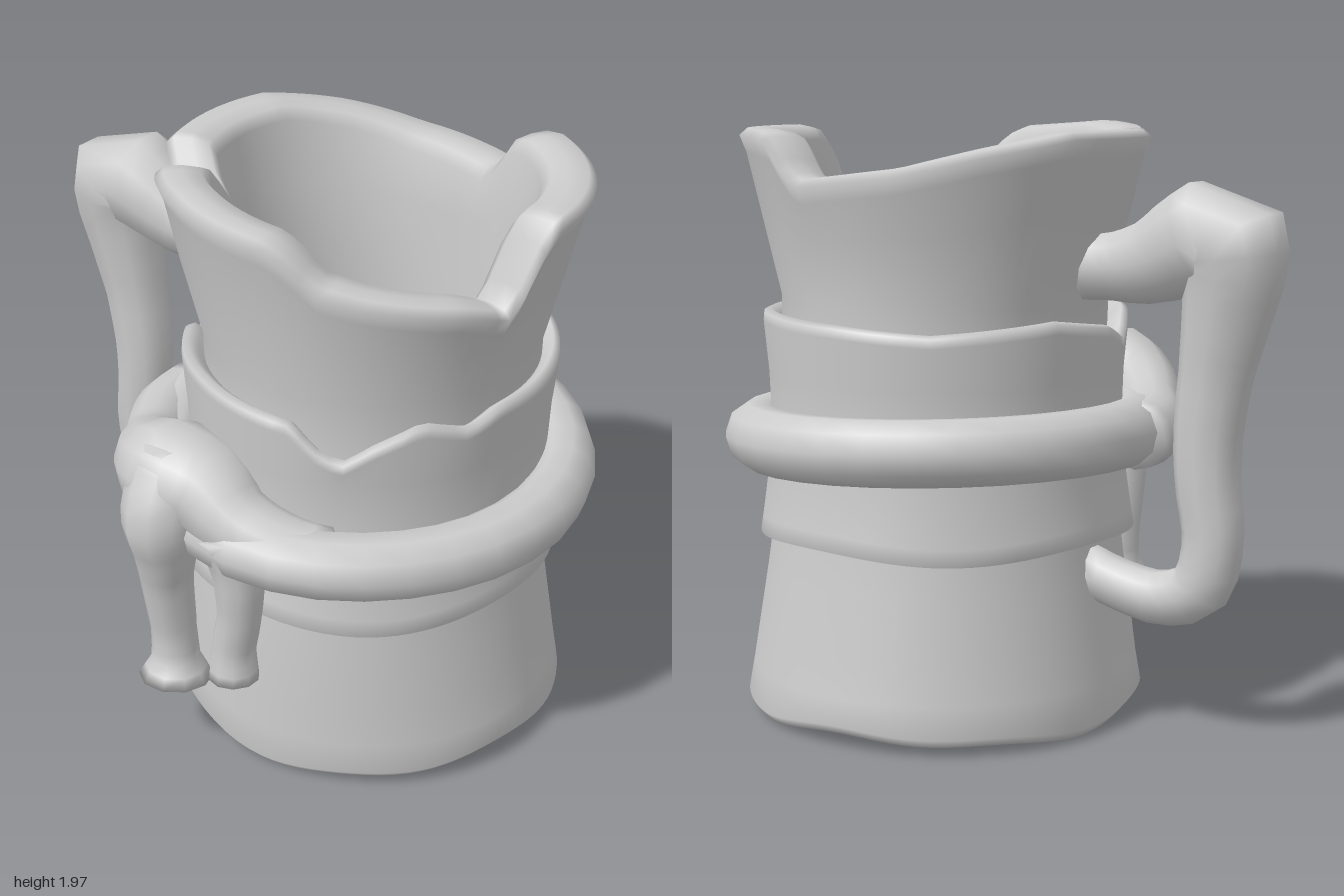
import * as THREE from 'three';
import { mergeVertices } from 'three/addons/utils/BufferGeometryUtils.js';

const clay = new THREE.MeshStandardMaterial({ color: 0xcccccc, side: THREE.DoubleSide });
clay.name = 'clay grey';

const CX = 0.24, CZ = -0.1; // axis of the mug
const SEG = 90;

// Edge heights around the mug: [angle in degrees, height]; 0 is +x, 90 is the front
const RIM = [[0, 1.95], [4, 1.94], [8, 1.88], [14, 1.67], [30, 1.73], [60, 1.79], [72, 1.82], [79, 1.89], [86, 1.94],
  [120, 1.965], [143, 1.95], [149, 1.81], [153, 1.82], [159, 1.95], [200, 1.95], [225, 1.9], [250, 1.84],
  [285, 1.8], [290, 1.83], [296, 1.93], [304, 1.95], [360, 1.95]];
const BAND_TOP = [[0, 1.35], [15, 1.35], [27, 1.31], [42, 1.36], [55, 1.3], [65, 1.23], [72, 1.27], [80, 1.35],
  [95, 1.36], [115, 1.37], [150, 1.35], [160, 1.27], [172, 1.32], [200, 1.36], [240, 1.33], [270, 1.35],
  [310, 1.36], [360, 1.35]];

// Linear lookup in a table of angle and height
function lookup(table, deg) {
  const i = Math.max(1, table.findIndex(([d]) => d >= deg));
  const [d0, h0] = table[i - 1], [d1, h1] = table[i];
  return h0 + (h1 - h0) * (deg - d0) / (d1 - d0);
}

// Closed wall around the mug axis; profile(deg) gives [radius, y] pairs
function wall(name, profile) {
  const pos = [], index = [];
  let rows = 0;
  for (let i = 0; i < SEG; i++) {
    const deg = i * 360 / SEG, a = THREE.MathUtils.degToRad(deg), pts = profile(deg, a);
    rows = pts.length;
    for (const [r, y] of pts) pos.push(CX + r * Math.cos(a), y, CZ + r * Math.sin(a));
  }
  for (let i = 0; i < SEG; i++) {
    for (let j = 0; j < rows - 1; j++) {
      const p = i * rows + j, q = ((i + 1) % SEG) * rows + j;
      index.push(p, p + 1, q, q, p + 1, q + 1);
    }
  }
  const g = new THREE.BufferGeometry();
  g.setAttribute('position', new THREE.Float32BufferAttribute(pos, 3));
  g.setIndex(index);
  g.computeVertexNormals();
  return named(name, g);
}

// Tube of varying radius through [x, y, z, radius] points, with closed ends
function limb(name, pts, segs, sides = 10, closed = false) {
  const curve = new THREE.CatmullRomCurve3(pts.map(p => new THREE.Vector3(p[0], p[1], p[2])), closed);
  const g = new THREE.TubeGeometry(curve, segs, 1, sides, closed);
  const pos = g.attributes.position, v = new THREE.Vector3();
  for (let i = 0; i <= segs; i++) {
    const u = i / segs, n = closed ? pts.length : pts.length - 1;
    const t = curve.getUtoTmapping(u) * n, k = Math.min(Math.floor(t), n - 1);
    const r = THREE.MathUtils.lerp(pts[k][3], pts[(k + 1) % pts.length][3], t - k);
    const c = curve.getPointAt(u), cap = !closed && (i === 0 || i === segs);
    const end = cap ? curve.getPointAt(i === 0 ? 0.5 / segs : 1 - 0.5 / segs) : c;
    for (let j = 0; j <= sides; j++) {
      const m = i * (sides + 1) + j;
      v.fromBufferAttribute(pos, m).sub(c).multiplyScalar(cap ? 0 : r).add(cap ? end : c);
      pos.setXYZ(m, v.x, v.y, v.z);
    }
  }
  g.deleteAttribute('uv');
  g.deleteAttribute('normal');
  const merged = mergeVertices(g, 1e-4);
  merged.computeVertexNormals();
  return named(name, merged);
}

function named(name, geometry) {
  const mesh = new THREE.Mesh(geometry, clay);
  mesh.name = name;
  return mesh;
}

export function createModel() {
  const mug = new THREE.Group();
  mug.name = 'mug';

  // Flared cup: wavy foot, narrow waist, broken rounded rim and inner wall
  mug.add(wall('cup', (deg, a) => {
    const h = lookup(RIM, deg);
    const foot = 0.022 + 0.015 * Math.sin(3 * a + 0.6) + 0.008 * Math.sin(7 * a);
    const back = 1 - 0.05 * Math.max(0, -Math.sin(a)) ** 2;
    const belly = 0.065 * Math.max(0, Math.sin(a)) ** 2;
    // The rim swells on the left and pinches in at the notch
    const swell = 0.025 * Math.max(0, -Math.cos(a)) - 0.05 * Math.exp(-(((deg - 149) / 6) ** 2));
    const outer = y => (0.548 + (y - 1.4) * 0.23) * back + swell * Math.min(1, (y - 1.4) / 0.3)
      + belly * 0.45 * Math.max(0, 1 - (y - 1.4) / 0.4);
    const mid = 1.4 + (h - 1.4) * 0.5, r = outer(h);
    return [[0.555, 0.11], [0.56, foot + 0.05], [0.6, foot], [0.65, foot + 0.005], [0.675, foot + 0.035],
      [0.655 + belly * 0.2, 0.16], [0.632 + belly * 0.5, 0.3], [0.602 + belly * 0.8, 0.48], [0.577 + belly, 0.65],
      [0.55 + belly, 0.9], [0.54 + belly * 0.5, 1.2], [outer(1.4), 1.4],
      [outer(mid), mid], [outer(h - 0.08), h - 0.08], [r + 0.004, h - 0.025], [r - 0.022, h - 0.002],
      [r - 0.08, h], [r - 0.14, h - 0.01], [r - 0.168, h - 0.05], [outer(mid) - 0.14, mid], [0.42, 1.4],
      [0.388, 1.0], [0.4, 0.75], [0.47, 0.4], [0.555, 0.11]];
  }));

  // Thin floor
  const floor = named('floor', new THREE.CircleGeometry(0.56, 32));
  floor.rotation.x = -Math.PI / 2;
  floor.position.set(CX, 0.11, CZ);
  mug.add(floor);

  // Band around the waist with a torn upper edge
  mug.add(wall('waistBand', (deg, a) => {
    const h = lookup(BAND_TOP, deg);
    const low = 0.612 + 0.012 * Math.sin(4 * a + 1);
    const belly = 0.05 * Math.max(0, Math.sin(a)) ** 2 + 0.012 * Math.max(0, -Math.cos(a));
    return [[0.55, low + 0.03], [0.6, low], [0.624, low + 0.006], [0.615, low + 0.06], [0.595, 0.8], [0.58, 1.0],
      [0.585, 1.15], [0.6, h - 0.04], [0.597, h - 0.01], [0.575, h], [0.545, h - 0.025], [0.51, h - 0.07]]
      .map(([r, y]) => [r + belly, y]);
  }));

  // Branch ring that circles the band, pushed out at the front
  const ring = [];
  for (let i = 0; i < 16; i++) {
    const a = i * Math.PI / 8, s = Math.sin(a);
    ring.push([CX + 0.652 * Math.cos(a), 0.937 - 0.03 * Math.cos(a) - 0.02 * s,
      CZ + 0.03 + 0.642 * s + 0.06 * Math.max(0, s) ** 4, 0.11]);
  }
  mug.add(limb('branchRing', ring, 32, 10, true));

  // Knot at the front where the branch thickens
  mug.add(limb('branchKnot', [[-0.43, 0.95, -0.02, 0.11], [-0.41, 0.955, 0.18, 0.115], [-0.29, 0.98, 0.4, 0.108],
    [-0.17, 1.03, 0.54, 0.135], [-0.06, 1.055, 0.59, 0.175], [0.08, 1.035, 0.58, 0.165], [0.22, 0.97, 0.6, 0.125],
    [0.38, 0.93, 0.57, 0.105], [0.55, 0.92, 0.49, 0.08]], 28, 12));

  // Two hanging roots
  mug.add(limb('longRoot', [[-0.04, 1.2, 0.58, 0.1], [-0.035, 1.08, 0.62, 0.135], [-0.025, 0.95, 0.69, 0.13],
    [-0.025, 0.82, 0.68, 0.105], [-0.035, 0.7, 0.665, 0.088], [-0.035, 0.48, 0.64, 0.076],
    [-0.03, 0.37, 0.64, 0.08], [-0.025, 0.255, 0.65, 0.145]], 26, 10));
  mug.add(limb('shortRoot', [[0.2, 0.98, 0.62, 0.13], [0.235, 0.82, 0.63, 0.088], [0.235, 0.65, 0.63, 0.074],
    [0.21, 0.5, 0.63, 0.074], [0.215, 0.355, 0.64, 0.088]], 18, 10));

  // Crooked handle with a heavy elbow, slightly flattened from side to side
  const handle = limb('handle', [[-0.22, 1.52, 0, 0.115], [-0.4, 1.52, 0, 0.11], [-0.56, 1.545, 0, 0.14],
    [-0.69, 1.605, 0, 0.17], [-0.8, 1.645, 0, 0.185], [-0.83, 1.57, 0, 0.175], [-0.81, 1.4, 0, 0.145],
    [-0.775, 1.2, 0, 0.12], [-0.752, 1.0, 0, 0.112], [-0.755, 0.85, 0, 0.108], [-0.775, 0.66, 0, 0.1],
    [-0.73, 0.51, 0, 0.1], [-0.6, 0.46, 0, 0.09], [-0.45, 0.48, 0, 0.085], [-0.26, 0.54, 0, 0.085]], 36, 10);
  handle.scale.z = 0.88;
  handle.position.z = -0.09;
  mug.add(handle);

  return mug;
}
